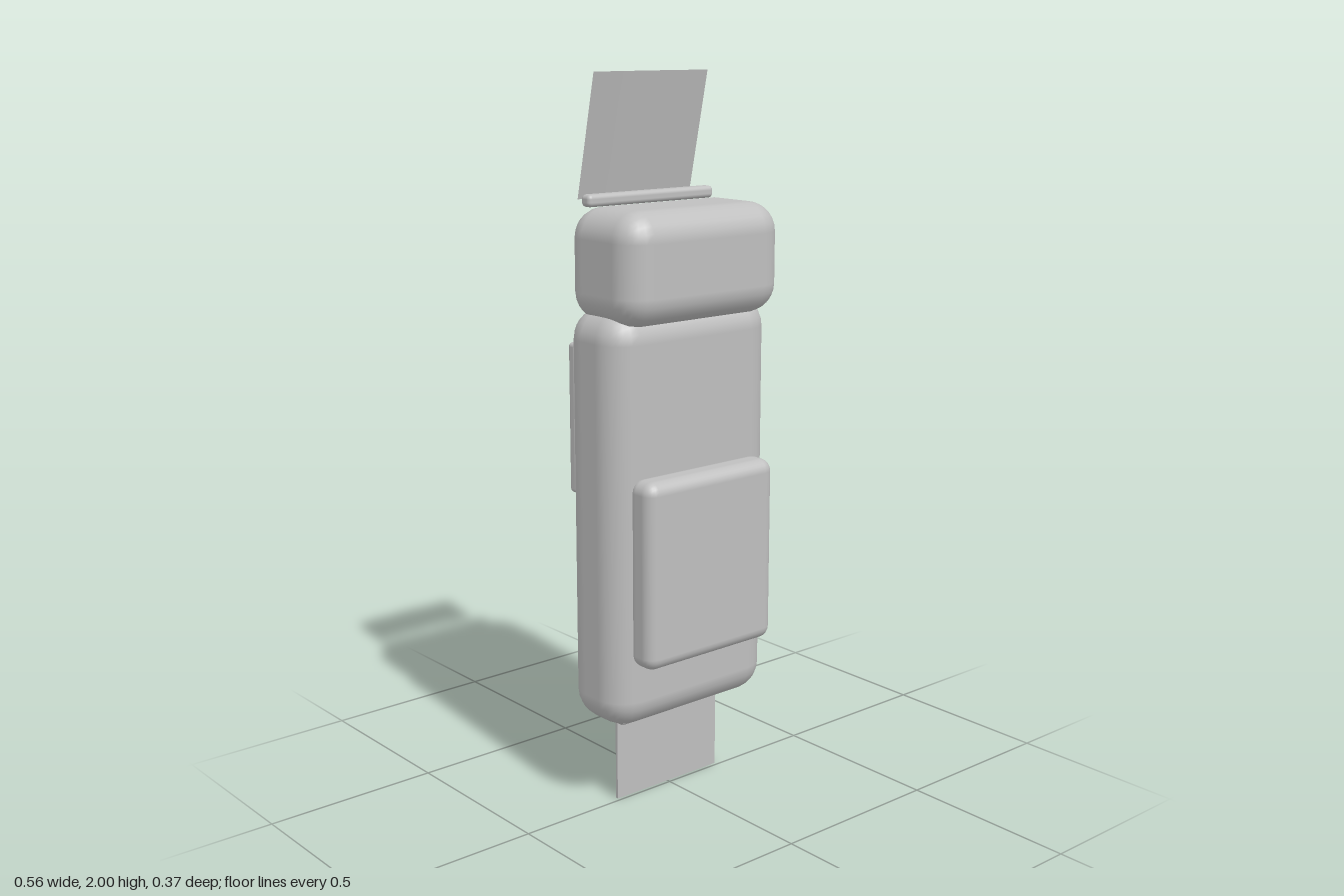
import * as THREE from 'three';
import { RoundedBoxGeometry } from 'three/addons/geometries/RoundedBoxGeometry.js';

export function createModel() {
  const model = new THREE.Group();
  model.name = 'cardTerminal';
  const grey = new THREE.MeshStandardMaterial({ color: 0xbfbfbf });
  grey.name = 'grey';
  const greySheet = grey.clone();
  greySheet.side = THREE.DoubleSide;

  const add = (name, geometry, x, y, z, parent = model, material = grey) => {
    const mesh = new THREE.Mesh(geometry, material);
    mesh.name = name;
    mesh.position.set(x, y, z);
    parent.add(mesh);
    return mesh;
  };
  // Rounded box given by its limits; x is symmetric
  const slab = (name, halfX, y0, y1, z0, z1, radius, segments = 3) =>
    add(name, new RoundedBoxGeometry(halfX * 2, y1 - y0, z1 - z0, segments, radius),
      0, (y0 + y1) / 2, (z0 + z1) / 2);

  // Casing
  slab('body', 0.28, 0.25, 1.4, -0.115, 0.115, 0.085);
  slab('printerHead', 0.27, 1.36, 1.66, -0.115, 0.17, 0.08);
  slab('batteryPack', 0.225, 0.44, 0.96, 0.09, 0.185, 0.035);

  // Screen
  slab('screenFrame', 0.24, 0.88, 1.295, -0.14, -0.105, 0.012);
  slab('screen', 0.215, 0.925, 1.25, -0.149, -0.125, 0.006, 2);

  // Keypad
  const keypad = new THREE.Group();
  keypad.name = 'keypad';
  model.add(keypad);
  const keyGeometry = new RoundedBoxGeometry(0.12, 0.072, 0.045, 3, 0.016);
  for (let row = 0; row < 5; row++) {
    for (let col = -1; col <= 1; col++) {
      add('key', keyGeometry, col * 0.153, 0.344 + row * 0.103, -0.126, keypad);
    }
  }

  // Wireless symbol: a dot, beaded arcs and a diagonal bar
  const symbol = new THREE.Group();
  symbol.name = 'wirelessSymbol';
  model.add(symbol);
  const bead = new THREE.SphereGeometry(0.016, 12, 8);
  add('dot', bead, -0.01, 1.015, -0.158, symbol);
  [[0.06, 4], [0.115, 6], [0.17, 8]].forEach(([radius, count]) => {
    for (let i = 0; i < count; i++) {
      const a = THREE.MathUtils.lerp(-0.68, 0.68, i / (count - 1));
      add('arcBead', bead, radius * Math.sin(a), 1.03 + radius * Math.cos(a), -0.158, symbol);
    }
  });
  const bar = add('diagonalBar', new RoundedBoxGeometry(0.31, 0.036, 0.03, 2, 0.008),
    0, 1.105, -0.168, symbol);
  bar.rotation.z = -0.715;

  // Paper slot and the curled receipt
  slab('paperSlot', 0.217, 1.655, 1.688, -0.105, -0.067, 0.012);
  const paper = new THREE.PlaneGeometry(0.39, 0.33, 12, 4);
  const p = paper.attributes.position;
  for (let i = 0; i < p.count; i++) {
    const u = p.getX(i) / 0.195;
    const t = p.getY(i) / 0.33 + 0.5;
    p.setZ(i, -0.145 + 0.074 * t - 0.009 * (1 - u * u));
  }
  paper.computeVertexNormals();
  add('receipt', paper, 0, 1.835, 0, model, greySheet);

  // Card reader
  slab('cardSlot', 0.19, 0.23, 0.27, -0.046, 0.02, 0.008, 2);
  add('card', new THREE.BoxGeometry(0.366, 0.25, 0.008), 0, 0.125, -0.014);
  add('cardChip', new RoundedBoxGeometry(0.065, 0.05, 0.012, 2, 0.003), 0.085, 0.075, -0.021);

  return model;
}
